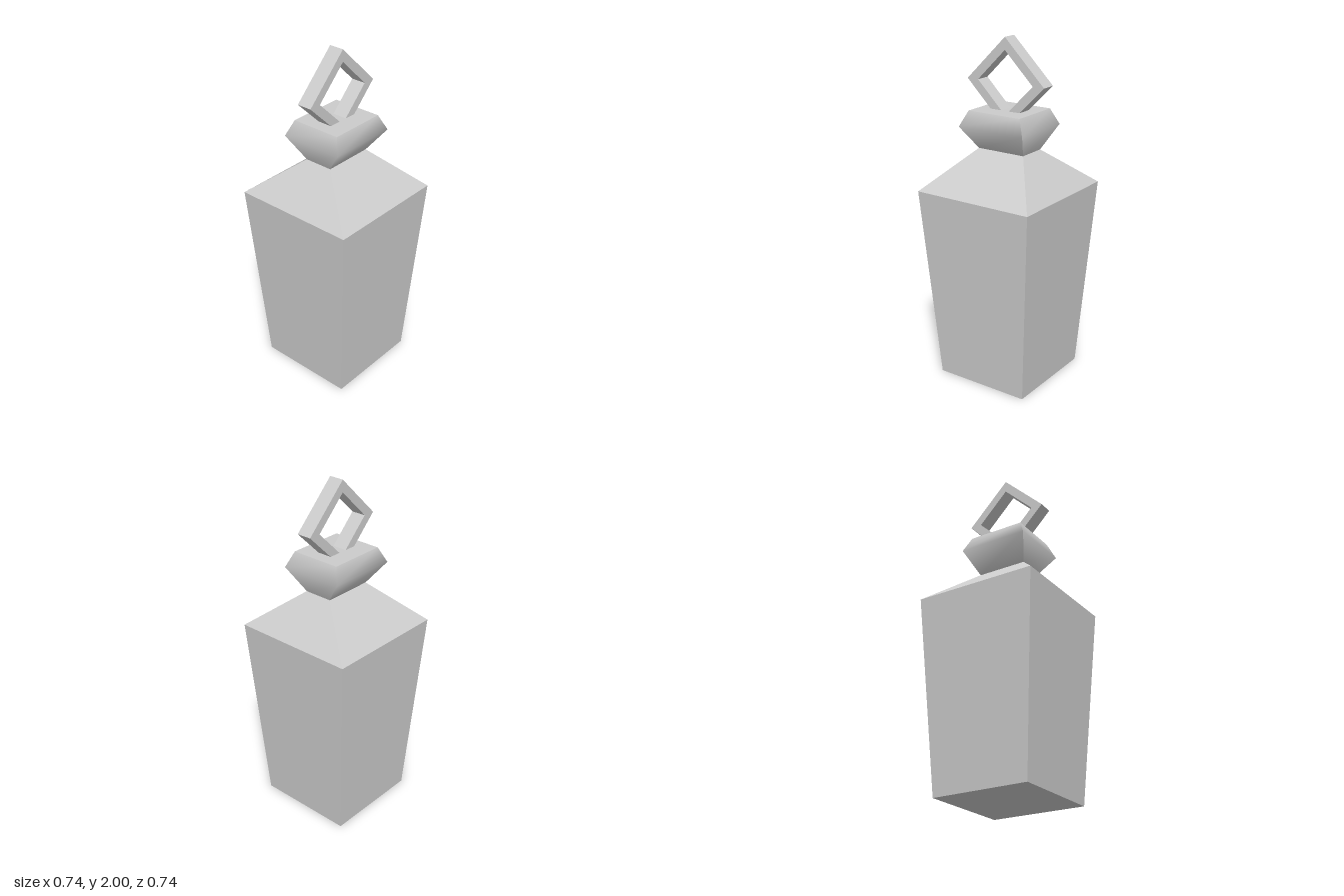
import * as THREE from 'three';
import { mergeGeometries } from 'three/addons/utils/BufferGeometryUtils.js';

// Corner signs, counter-clockwise seen from above
const CORNERS = [[1, 1], [1, -1], [-1, -1], [-1, 1]];

function panel(points, index) {
  const g = new THREE.BufferGeometry();
  g.setAttribute('position', new THREE.Float32BufferAttribute(points.flat(), 3));
  g.setIndex(index);
  g.computeVertexNormals();
  return g;
}

// Loft through rectangular sections [y, halfX, halfZ], bottom to top.
// Each side is its own strip, so the four upright edges stay sharp.
function rectLoft(sections) {
  const corner = ([y, hx, hz], k) => [CORNERS[k % 4][0] * hx, y, CORNERS[k % 4][1] * hz];
  const parts = [];
  for (let k = 0; k < 4; k++) {
    const points = [], index = [];
    sections.forEach((s, i) => {
      points.push(corner(s, k), corner(s, k + 1));
      const a = i * 2;
      if (i < sections.length - 1) index.push(a, a + 1, a + 3, a, a + 3, a + 2);
    });
    parts.push(panel(points, index));
  }
  const cap = (s, index) => panel([0, 1, 2, 3].map((k) => corner(s, k)), index);
  parts.push(cap(sections[0], [0, 3, 2, 0, 2, 1]));
  parts.push(cap(sections[sections.length - 1], [0, 1, 2, 0, 2, 3]));
  return mergeGeometries(parts);
}

function diamond(path, rx, ry) {
  path.moveTo(rx, 0);
  path.lineTo(0, ry);
  path.lineTo(-rx, 0);
  path.lineTo(0, -ry);
  path.closePath();
  return path;
}

export function createModel() {
  const model = new THREE.Group();
  const add = (name, geometry, flatShading) => {
    const mesh = new THREE.Mesh(geometry, new THREE.MeshStandardMaterial({ color: 0xcccccc, flatShading }));
    mesh.name = name;
    model.add(mesh);
    return mesh;
  };

  // Tapered body with sloping shoulders
  add('body', rectLoft([[0, 0.29, 0.29], [1.147, 0.368, 0.368], [1.37, 0.15, 0.085]]), true);

  // Flared collar, softly shaded up each side
  add('collar', rectLoft([[1.37, 0.15, 0.085], [1.505, 0.212, 0.187], [1.595, 0.17, 0.15]]), false);

  // Diamond ring, its lower point sunk into the collar
  const shape = diamond(new THREE.Shape(), 0.254, 0.25);
  shape.holes.push(diamond(new THREE.Path(), 0.182, 0.18));
  const ring = new THREE.ExtrudeGeometry(shape, { depth: 0.088, bevelEnabled: false });
  ring.translate(0, 0, -0.044);
  add('ring', ring, true).position.y = 1.75;

  return model;
}
